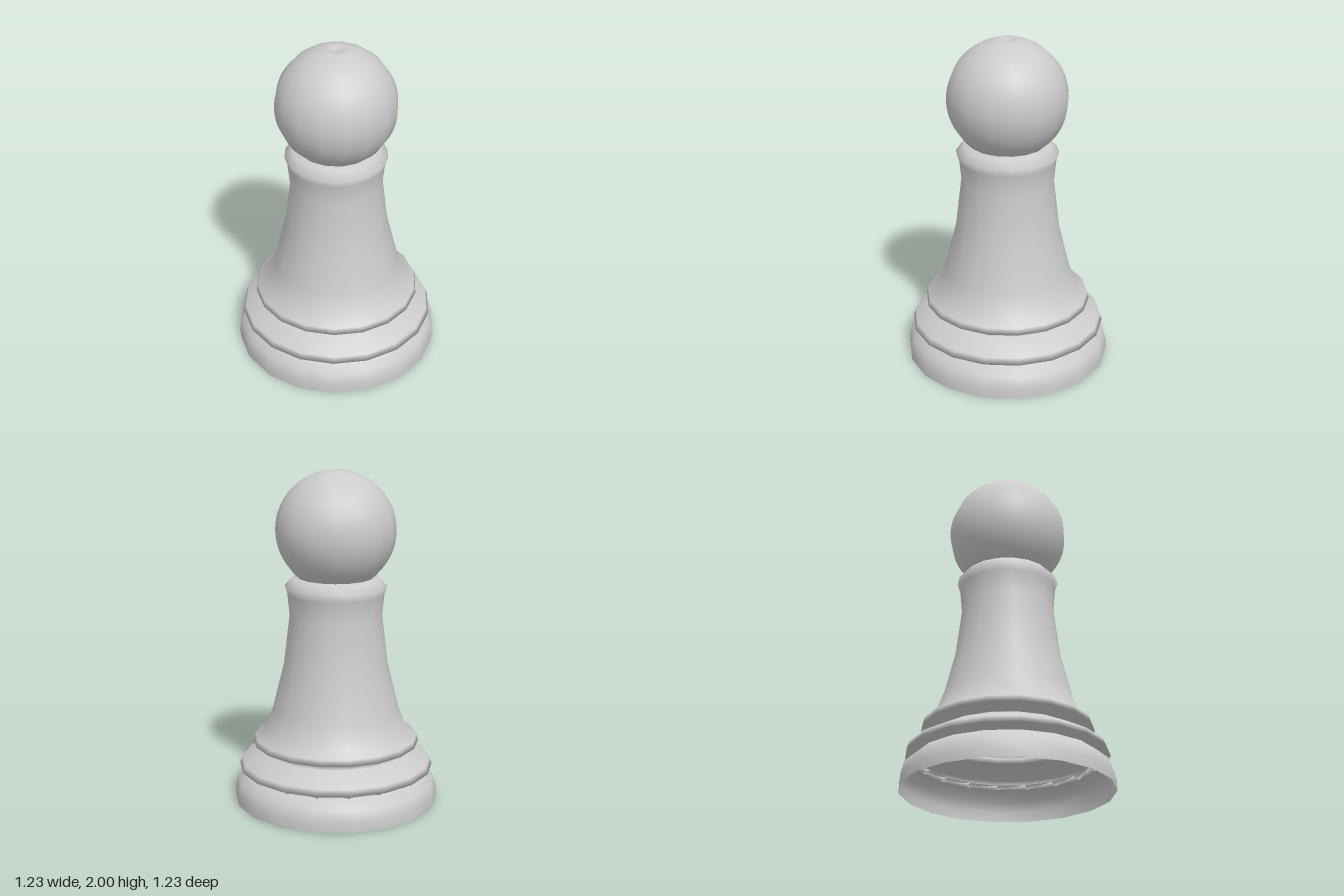
import * as THREE from 'three';

const profile = (pairs) => pairs.map(([r, y]) => new THREE.Vector2(r, y));

export function createModel() {
  const group = new THREE.Group();
  const material = new THREE.MeshStandardMaterial({ color: 0xcccccc, side: THREE.DoubleSide });

  const addLathe = (name, points, segments, start) => {
    const mesh = new THREE.Mesh(new THREE.LatheGeometry(points, segments, start), material);
    mesh.name = name;
    group.add(mesh);
  };

  // Hollow body, open underneath: base, two grooved rings, tapering stem and collar
  addLathe('body', profile([
    [0.617, 0], [0.617, 0.06], [0.6, 0.125], [0.54, 0.178],
    [0.49, 0.192], [0.588, 0.206], [0.573, 0.245], [0.445, 0.315],
    [0.4, 0.335], [0.502, 0.357], [0.492, 0.395], [0.43, 0.434],
    [0.38, 0.566], [0.312, 0.84], [0.276, 1.136], [0.289, 1.27],
    [0.305, 1.315], [0.26, 1.362], [0.2, 1.37],
  ]), 18, THREE.MathUtils.degToRad(5));

  // Round head with a small dimple in its crown
  const radius = 0.356, centre = 1.645, rings = 32;
  const head = [];
  for (let i = 0; i < rings - 1; i++) {
    const a = (i / rings) * Math.PI;
    head.push([radius * Math.sin(a), centre - radius * Math.cos(a)]);
  }
  head.push([0.045, 1.998], [0.025, 1.985], [0, 1.98]);
  addLathe('head', profile(head), 16, 0);

  return group;
}
